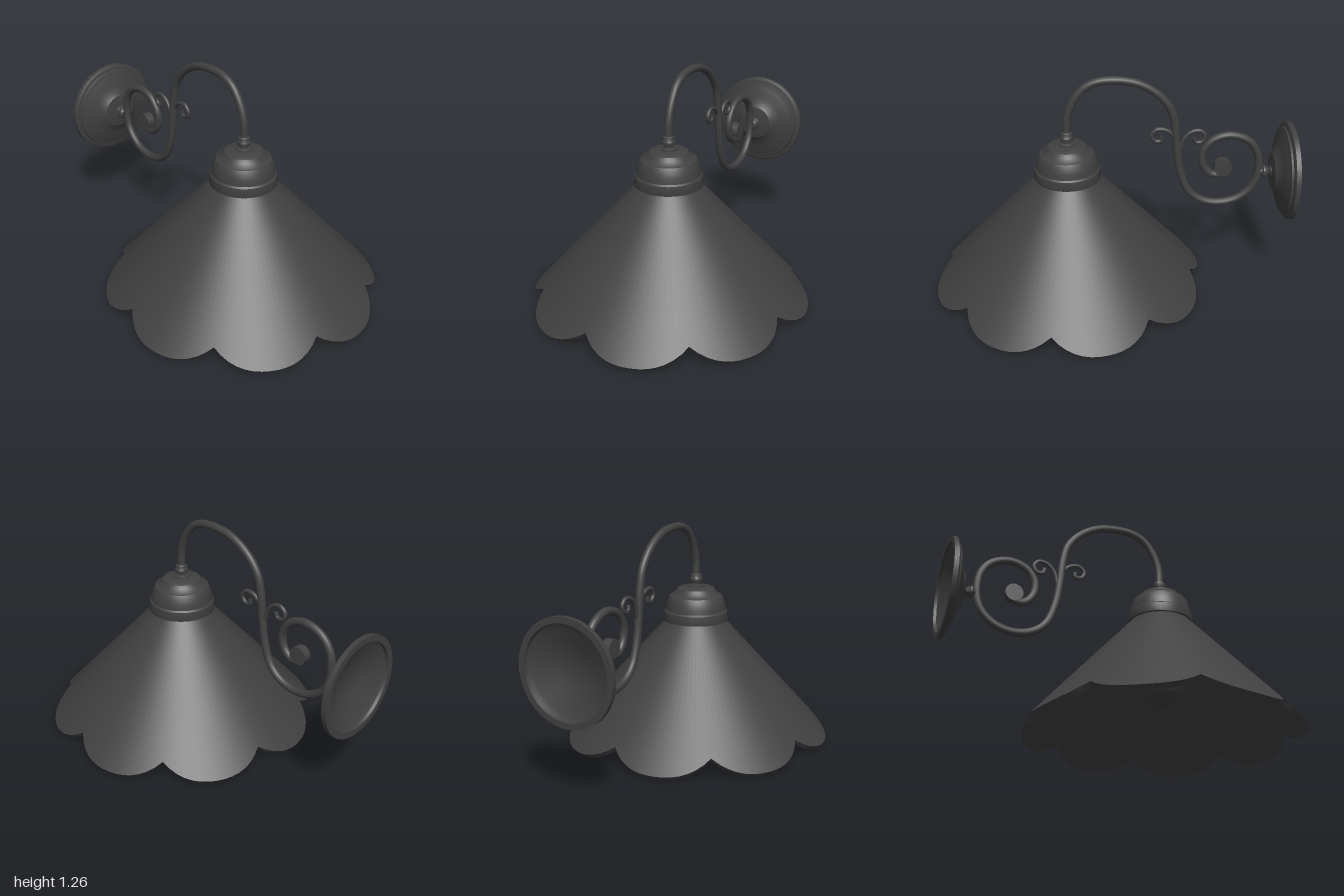
import * as THREE from 'three';
import { toCreasedNormals } from 'three/addons/utils/BufferGeometryUtils.js';

const metal = new THREE.MeshStandardMaterial({ color: 0x404040, side: THREE.DoubleSide });
const AXIS_Z = 0.235; // lamp axis
const PLATE_Y = 0.68; // wall plate height

function part(name, geometry, parent) {
  const mesh = new THREE.Mesh(geometry, metal);
  mesh.name = name;
  parent.add(mesh);
  return mesh;
}

// Turned part from [radius, height] pairs
function turned(points, segments = 48) {
  const profile = points.map(([r, y]) => new THREE.Vector2(r, y));
  return toCreasedNormals(new THREE.LatheGeometry(profile, segments), 0.5);
}

// Bent rod in the x = 0 plane from [z, y] pairs
function rod(points, radius, steps) {
  const curve = new THREE.CatmullRomCurve3(points.map(([z, y]) => new THREE.Vector3(0, y, z)));
  return new THREE.TubeGeometry(curve, steps, radius, 12);
}

// Conical shade with eight scalloped petals and a real thickness
function shadeGeometry() {
  const lobes = 8, perLobe = 14, n = lobes * perLobe;
  const start = THREE.MathUtils.degToRad(8.65);
  const heightAt = r => 0.685 - (r - 0.165) / 0.9095;
  const rimRadius = i => {
    const u = Math.abs(2 * (i % perLobe) / perLobe - 1);
    return 0.693 + 0.075 * (1 - Math.pow(u, 2.4));
  };
  const outerTop = () => [0.165, heightAt(0.165)];
  const outerRim = i => [rimRadius(i), heightAt(rimRadius(i))];
  const inset = row => i => { const [r, y] = row(i); return [r - 0.022, y - 0.022]; };
  const innerTop = inset(outerTop), innerRim = inset(outerRim);

  const positions = [], index = [];
  const band = (upper, lower) => {
    const base = positions.length / 3;
    for (const row of [upper, lower]) {
      for (let i = 0; i < n; i++) {
        const a = start + i / n * Math.PI * 2, [r, y] = row(i);
        positions.push(r * Math.cos(a), y, r * Math.sin(a));
      }
    }
    for (let i = 0; i < n; i++) {
      const a = base + i, b = base + (i + 1) % n;
      index.push(a, b, a + n, b, b + n, a + n);
    }
  };
  band(outerTop, outerRim);
  band(outerRim, innerRim);
  band(innerRim, innerTop);

  const geometry = new THREE.BufferGeometry();
  geometry.setAttribute('position', new THREE.Float32BufferAttribute(positions, 3));
  geometry.setIndex(index);
  geometry.computeVertexNormals();
  return geometry;
}

export function createModel() {
  const model = new THREE.Group();
  model.name = 'wallLamp';

  // Shade, cap and bulb share the vertical lamp axis
  const lamp = new THREE.Group();
  lamp.name = 'lampHead';
  lamp.position.z = AXIS_Z;
  model.add(lamp);
  part('shade', shadeGeometry(), lamp);
  part('cap', turned([
    [0, 0.7], [0.16, 0.7], [0.165, 0.68], [0.183, 0.68], [0.185, 0.69], [0.18, 0.732],
    [0.172, 0.74], [0.168, 0.77], [0.158, 0.805], [0.148, 0.822], [0.138, 0.826],
    [0.115, 0.845], [0.105, 0.862], [0.09, 0.87], [0, 0.872],
  ]), lamp);
  part('neck', turned([
    [0.04, 0.868], [0.04, 0.878], [0.025, 0.885], [0.025, 0.897], [0.036, 0.903],
    [0.038, 0.918], [0.032, 0.93], [0.03, 0.942], [0.022, 0.948], [0, 0.948],
  ], 24), lamp);
  part('bulb', turned([
    [0, 0.193], [0.035, 0.198], [0.07, 0.213], [0.1, 0.237], [0.122, 0.27], [0.134, 0.31],
    [0.135, 0.345], [0.128, 0.4], [0.113, 0.46], [0.09, 0.52], [0.07, 0.56], [0.065, 0.7],
  ], 32), lamp);

  // Swan-neck arm that curls into the large scroll
  const arm = new THREE.Group();
  arm.name = 'arm';
  model.add(arm);
  part('armRod', rod([
    [0.235, 0.93], [0.231, 1.03], [0.196, 1.126], [0.142, 1.196], [0.078, 1.23], [-0.01, 1.24],
    [-0.137, 1.222], [-0.25, 1.158], [-0.324, 1.067], [-0.351, 0.965], [-0.367, 0.815],
    [-0.389, 0.686], [-0.437, 0.568], [-0.512, 0.508], [-0.61, 0.488], [-0.716, 0.515],
    [-0.796, 0.59], [-0.823, 0.692], [-0.807, 0.804], [-0.753, 0.874], [-0.65, 0.906],
    [-0.555, 0.874], [-0.507, 0.8], [-0.517, 0.718], [-0.566, 0.67], [-0.625, 0.672],
  ], 0.022, 180), arm);
  const knob = part('scrollKnob', toCreasedNormals(
    new THREE.CylinderGeometry(0.05, 0.05, 0.046, 20), 0.6), arm);
  knob.rotation.z = Math.PI / 2;
  knob.position.set(0, 0.712, -0.623);

  // Two small curls on either side of the arm
  part('frontCurl', rod([
    [-0.368, 0.83], [-0.342, 0.911], [-0.298, 0.945], [-0.25, 0.947], [-0.224, 0.913],
    [-0.244, 0.88], [-0.276, 0.882], [-0.28, 0.908],
  ], 0.012, 48), arm);
  part('backCurl', rod([
    [-0.374, 0.8], [-0.402, 0.89], [-0.442, 0.93], [-0.49, 0.936], [-0.516, 0.906],
    [-0.5, 0.87], [-0.465, 0.87], [-0.455, 0.897],
  ], 0.012, 48), arm);

  // Stepped wall plate, hollow at the back, and its stem to the arm
  const mount = new THREE.Group();
  mount.name = 'wallMount';
  mount.position.set(0, PLATE_Y, -1);
  mount.rotation.x = Math.PI / 2;
  model.add(mount);
  part('wallPlate', turned([
    [0, 0.075], [0.1, 0.07], [0.15, 0.045], [0.21, 0.03], [0.235, 0.015], [0.24, 0],
    [0.273, 0], [0.273, 0.025], [0.262, 0.032], [0.246, 0.034], [0.242, 0.045],
    [0.215, 0.052], [0.195, 0.062], [0.16, 0.068], [0.135, 0.08], [0.112, 0.09],
    [0.1, 0.1], [0.05, 0.108], [0, 0.11],
  ]), mount);
  part('plateStem', turned([
    [0.035, 0.1], [0.035, 0.112], [0.02, 0.12], [0.026, 0.13], [0.034, 0.14],
    [0.034, 0.15], [0.024, 0.16], [0.02, 0.178], [0, 0.178],
  ], 24), mount);

  return model;
}
